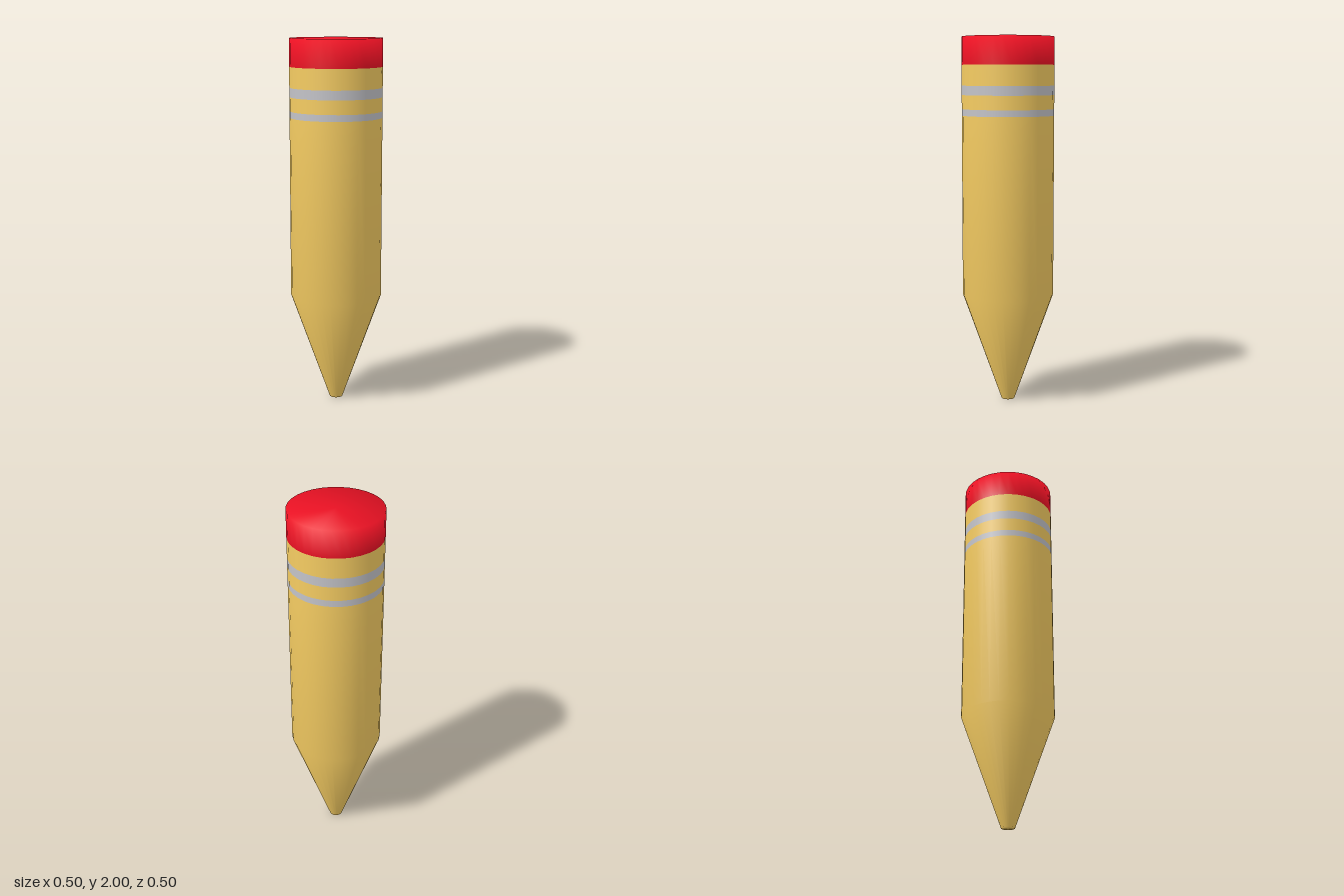
import * as THREE from 'three';

const R = 0.25;
const SIDES = 32;
const GOLD = 0xf5cc62;
const GREY = 0xc3c3c8;
const RED = 0xe81123;

// One coloured section of the pencil, turned from a bottom-to-top profile
function section(name, color, profile) {
  const points = profile.map(([r, y]) => new THREE.Vector2(r, y));
  const mesh = new THREE.Mesh(
    new THREE.LatheGeometry(points, SIDES),
    new THREE.MeshStandardMaterial({ color })
  );
  mesh.name = name;
  return mesh;
}

export function createModel() {
  const pencil = new THREE.Group();
  pencil.name = 'pencil';

  // Blunt tip, sharpened cone and long shaft, smoothly shaded as one piece
  pencil.add(section('sharpenedShaft', GOLD, [[0, 0], [0.036, 0], [R, 0.6], [R, 1.58]]));

  // Plain and grey bands below the eraser
  const bands = [
    ['lowerStripe', GREY, 1.58, 1.615],
    ['middleBand', GOLD, 1.615, 1.69],
    ['upperStripe', GREY, 1.69, 1.74],
    ['topBand', GOLD, 1.74, 1.85],
  ];
  for (const [name, color, y0, y1] of bands) {
    pencil.add(section(name, color, [[R, y0], [R, y1]]));
  }

  // Flat-topped eraser with soft shading over its rim
  pencil.add(section('eraser', RED, [[R, 1.85], [R, 2], [0, 2]]));

  return pencil;
}
